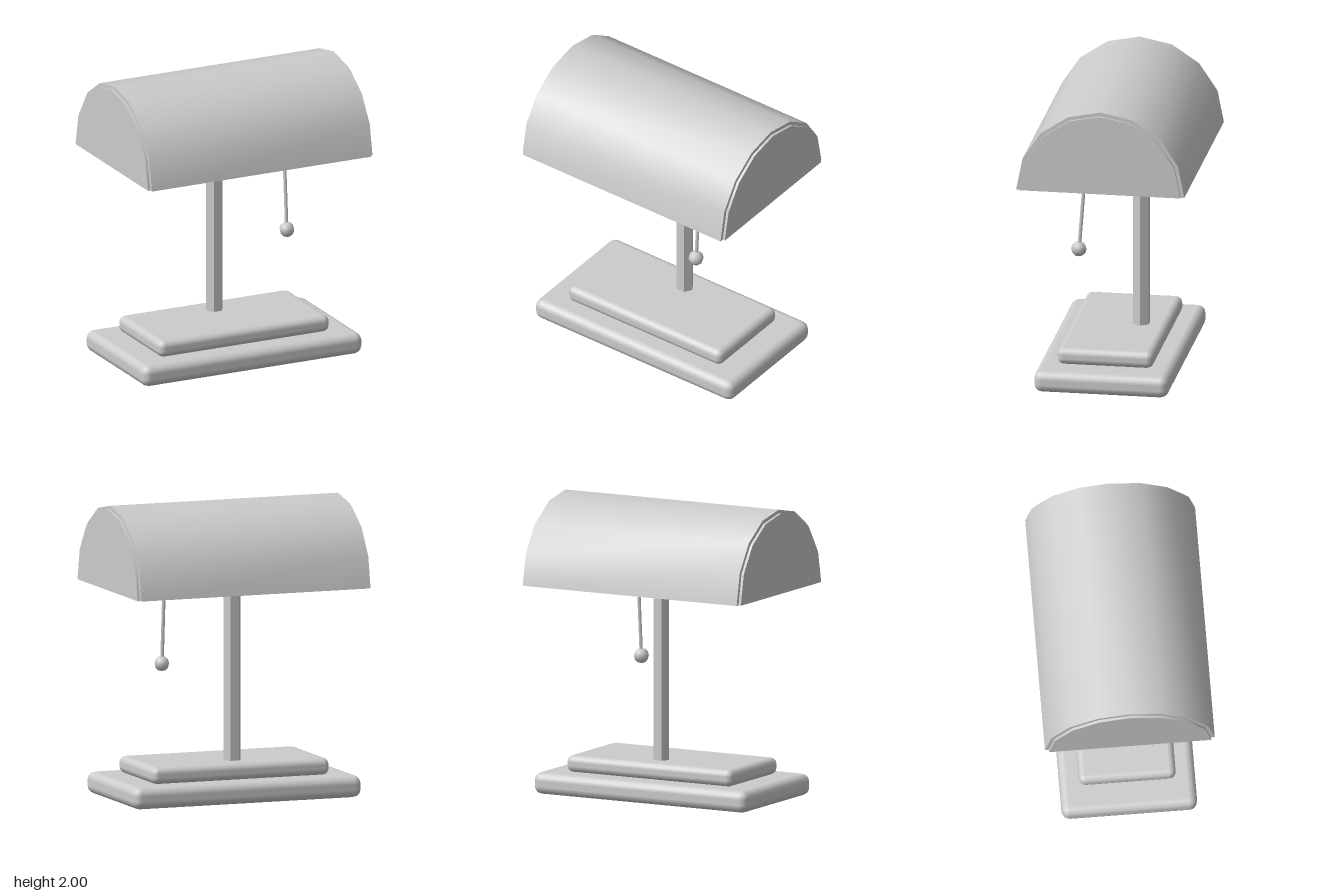
import * as THREE from 'three';
import { toCreasedNormals } from 'three/addons/utils/BufferGeometryUtils.js';
import { RoundedBoxGeometry } from 'three/addons/geometries/RoundedBoxGeometry.js';

const SHADE_Y = 1.43;   // height of the shade's open underside
const OUTER = 0.57, INNER = 0.545;

// points of an eight-sided half circle, from +x over the top to -x
function arc(radius) {
  return Array.from({ length: 9 }, (_, i) => {
    const a = (i / 8) * Math.PI;
    return new THREE.Vector2(radius * Math.cos(a), radius * Math.sin(a));
  });
}

// extrude an outline centred along x
function extrudeAlongX(points, length) {
  const geo = new THREE.ExtrudeGeometry(new THREE.Shape(points), { depth: length, bevelEnabled: false });
  geo.translate(0, 0, -length / 2);
  geo.rotateY(Math.PI / 2);
  return toCreasedNormals(geo, 0.5);
}

// cylinder running between two points
function rod(from, to, radius, sides) {
  const dir = to.clone().sub(from);
  const geo = new THREE.CylinderGeometry(radius, radius, dir.length(), sides);
  geo.rotateY(Math.PI / 6);
  geo.applyQuaternion(new THREE.Quaternion().setFromUnitVectors(new THREE.Vector3(0, 1, 0), dir.normalize()));
  const mid = from.clone().add(to).multiplyScalar(0.5);
  return geo.translate(mid.x, mid.y, mid.z);
}

export function createModel() {
  const lamp = new THREE.Group();
  lamp.name = 'deskLamp';
  const grey = new THREE.MeshStandardMaterial({ color: 0xcccccc });
  grey.name = 'lightGrey';

  const add = (name, geometry, x = 0, y = 0, z = 0) => {
    const mesh = new THREE.Mesh(geometry, grey);
    mesh.name = name;
    mesh.position.set(x, y, z);
    lamp.add(mesh);
    return mesh;
  };
  const v = (x, y, z) => new THREE.Vector3(x, y, z);

  // stepped base with rounded edges
  add('lowerBase', new RoundedBoxGeometry(1.64, 0.147, 0.91, 2, 0.055), 0, 0.0735, 0);
  add('upperBase', new RoundedBoxGeometry(1.275, 0.115, 0.65, 2, 0.045), 0, 0.2025, 0);

  // six-sided post, set towards the back and rising inside the shade
  add('post', toCreasedNormals(rod(v(0, 0.24, -0.145), v(0, 1.93, -0.145), 0.061, 6), 0.5));

  // half-round shade shell and its two end panels
  add('shade', extrudeAlongX([...arc(OUTER), ...arc(INNER).reverse()], 1.64), 0, SHADE_Y, 0);
  for (const side of [1, -1]) {
    add(side > 0 ? 'leftEndPanel' : 'rightEndPanel', extrudeAlongX(arc(INNER), 0.03), side * 0.823, SHADE_Y, 0);
  }

  // long bulb under the shade
  const bulb = add('bulb', new THREE.SphereGeometry(0.145, 10, 8), 0, 1.58, 0);
  bulb.scale.x = 2.95;

  // small switch inside the right end of the shade
  add('switch', toCreasedNormals(rod(v(-0.72, 1.71, -0.06), v(-0.72, 1.84, -0.11), 0.04, 6), 0.5));

  // slightly slanted pull cord with a ball
  add('pullCord', rod(v(0.36, 1.39, 0.18), v(0.36, 0.9, 0.217), 0.013, 6));
  add('pullBall', new THREE.SphereGeometry(0.052, 8, 6), 0.36, 0.88, 0.22);

  return lamp;
}
